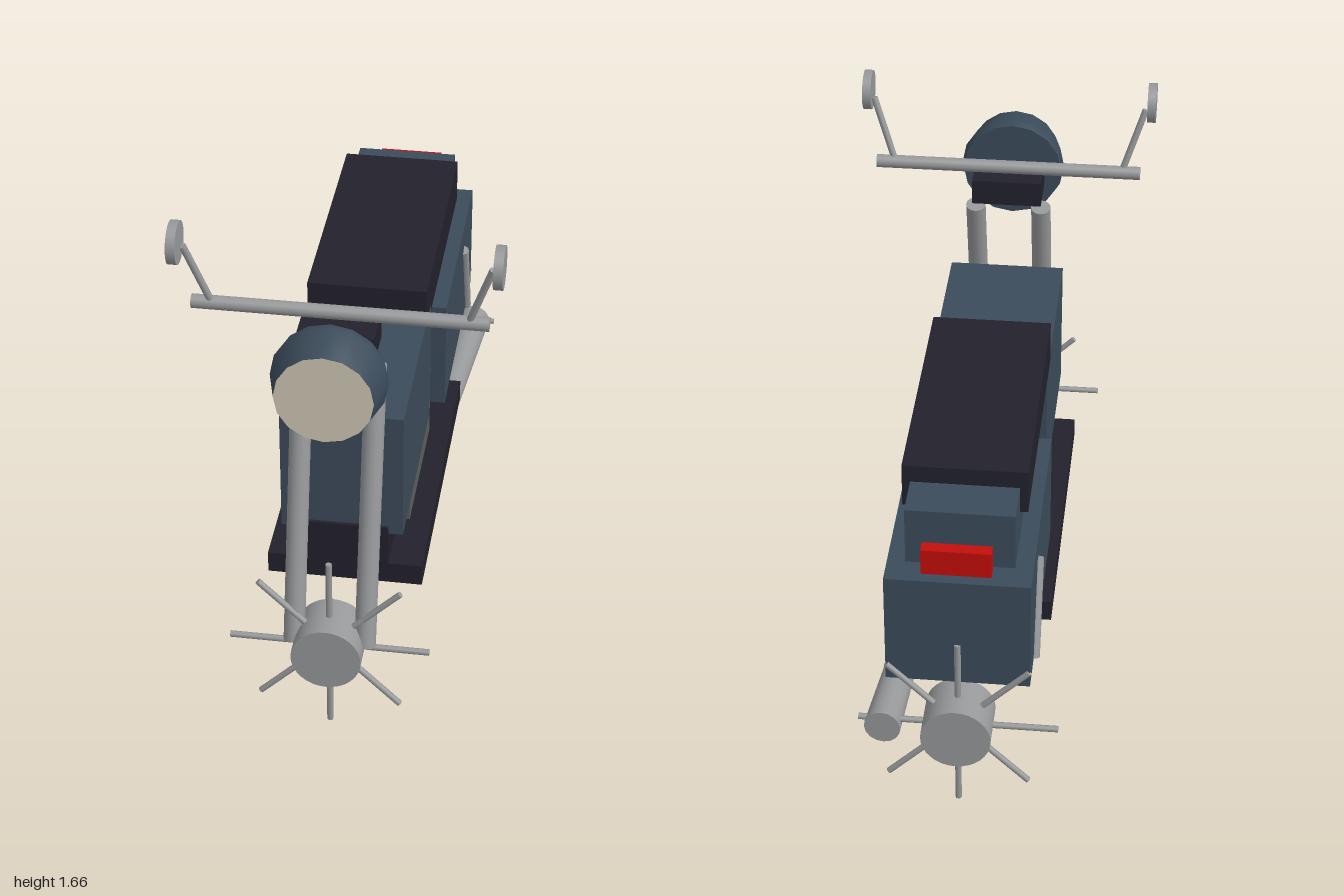
import * as THREE from 'three';

const mat = (name, color) => {
  const m = new THREE.MeshStandardMaterial({ color });
  m.name = name;
  return m;
};

export function createModel() {
  const root = new THREE.Group();
  root.name = 'motorcycle';
  const blue = mat('slateBlue', 0x3b4b5a);
  const dark = mat('darkVinyl', 0x22212c);
  const steel = mat('steel', 0x97989a);
  const engineGrey = mat('engineGrey', 0x5c5e5a);
  const red = mat('tailRed', 0xc40e0c);
  const cream = mat('lensCream', 0xd0c8b4);

  const add = (name, geo, material, parent = root) => {
    const mesh = new THREE.Mesh(geo, material);
    mesh.name = name;
    parent.add(mesh);
    return mesh;
  };
  // Box centred on x = 0, given half width and y, z ranges
  const block = (name, halfX, y0, y1, z0, z1, material) =>
    add(name, new THREE.BoxGeometry(halfX * 2, y1 - y0, z1 - z0), material)
      .position.set(0, (y0 + y1) / 2, (z0 + z1) / 2);
  // Round bar between two points, optionally tapered
  const bar = (name, a, b, ra, rb = ra, parent = root, sides = 16) => {
    const p = new THREE.Vector3(...a), q = new THREE.Vector3(...b);
    const dir = q.clone().sub(p);
    const mesh = add(name, new THREE.CylinderGeometry(rb, ra, dir.length(), sides), steel, parent);
    mesh.position.copy(p).add(q).multiplyScalar(0.5);
    mesh.quaternion.setFromUnitVectors(new THREE.Vector3(0, 1, 0), dir.normalize());
    return mesh;
  };

  // Body
  block('fuelTank', 0.19, 0.547, 0.983, 0.012, 0.66, blue);
  block('rearBody', 0.22, 0.472, 0.852, -0.92, -0.16, blue);
  block('tailHump', 0.165, 0.85, 1.043, -0.83, -0.54, blue);
  block('seat', 0.19, 0.955, 1.1, -0.687, 0.132, dark);
  block('frame', 0.145, 0.43, 0.575, -0.585, 0.67, dark);
  block('footboard', 0.245, 0.317, 0.39, -0.41, 0.613, dark);
  block('engine', 0.175, 0.267, 0.678, -0.117, 0.38, engineGrey);
  block('tailLight', 0.105, 0.897, 0.983, -0.94, -0.9, red);
  block('instrumentBox', 0.115, 1.247, 1.333, 0.615, 0.76, dark);

  // Wheels: a hub with eight bare spokes
  for (const [name, z] of [['frontWheel', 0.92], ['rearWheel', -0.92]]) {
    const wheel = new THREE.Group();
    wheel.name = name;
    wheel.position.set(0, 0.308, z);
    bar('hub', [0, 0, -0.08], [0, 0, 0.08], 0.108, 0.108, wheel, 32);
    for (let i = 0; i < 8; i++) {
      const c = Math.cos(i * Math.PI / 4), s = Math.sin(i * Math.PI / 4);
      bar('spoke', [c * 0.05, s * 0.05, 0], [c * 0.308, s * 0.308, 0], 0.01, 0.01, wheel, 8);
    }
    root.add(wheel);
  }

  // Paired fork legs, shock absorbers and mirrors
  for (const s of [1, -1]) {
    bar('forkLeg', [s * 0.11, 0.313, 0.918], [s * 0.11, 1.2, 0.69], 0.033);
    bar('shockAbsorber', [s * 0.22, 0.468, -0.775], [s * 0.22, 0.765, -0.66], 0.018);
    bar('mirrorStem', [s * 0.38, 1.365, 0.675], [s * 0.45, 1.575, 0.715], 0.011);
    bar('mirror', [s * 0.456, 1.595, 0.73], [s * 0.484, 1.595, 0.73], 0.065, 0.065, root, 24);
  }
  bar('handlebar', [-0.44, 1.36, 0.672], [0.44, 1.36, 0.672], 0.022);

  // Headlight: short tapering shell with a flat lens
  const profile = [[0, 0.835], [0.166, 0.835], [0.166, 0.835], [0.174, 0.87], [0.146, 0.978]]
    .map(([r, z]) => new THREE.Vector2(r, z));
  const shell = new THREE.LatheGeometry(profile, 16);
  shell.rotateX(Math.PI / 2);
  const shellMat = blue;
  shellMat.side = THREE.DoubleSide;
  add('headlightShell', shell, shellMat).position.y = 1.26;
  add('headlightLens', new THREE.CircleGeometry(0.146, 16), cream).position.set(0, 1.26, 0.979);

  // Exhaust on the left side
  bar('exhaustPipe', [0.13, 0.31, 0.02], [0.19, 0.28, -0.35], 0.012, 0.042);
  bar('muffler', [0.19, 0.28, -0.34], [0.232, 0.293, -0.948], 0.042, 0.057);
  return root;
}
